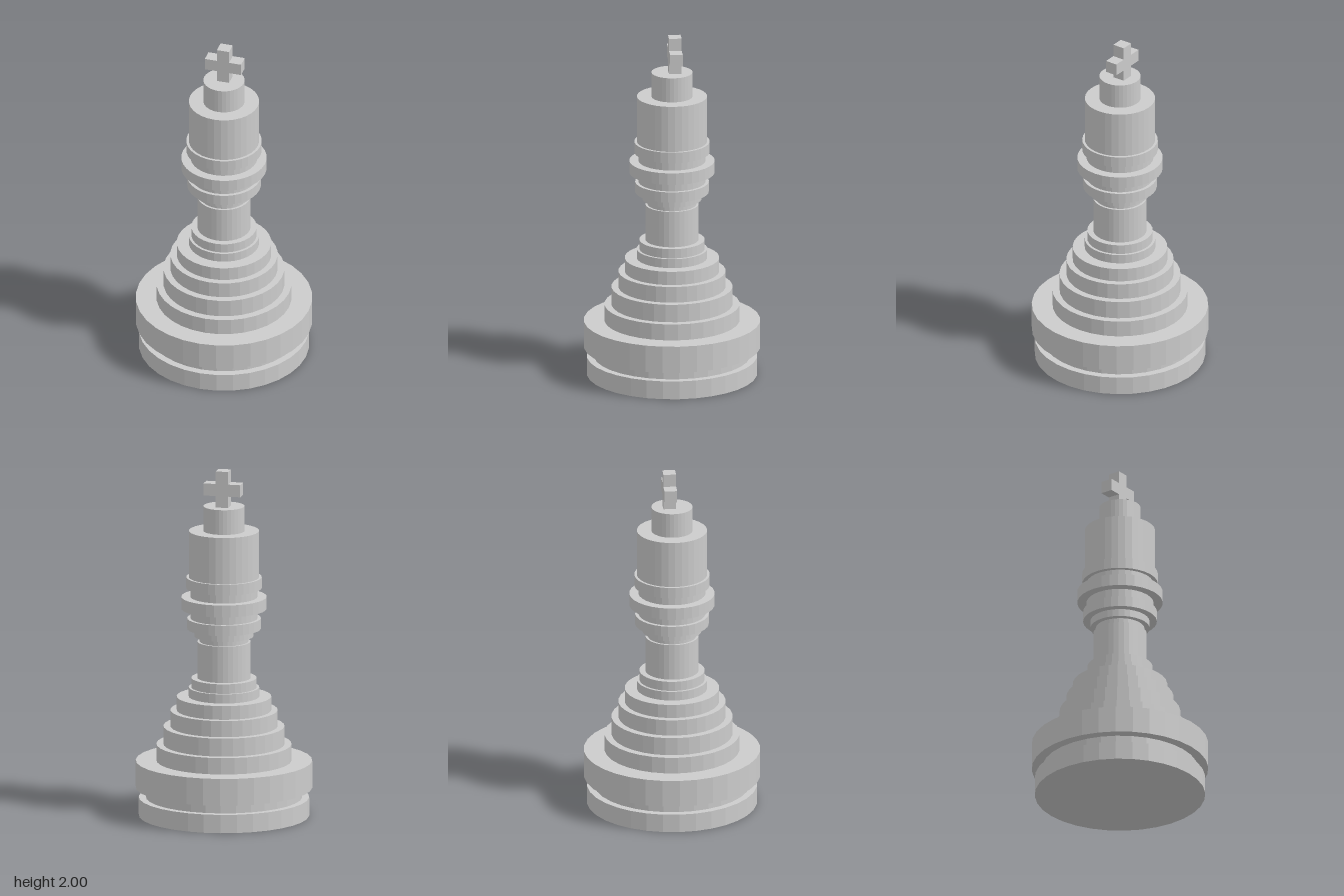
import * as THREE from 'three';

const material = new THREE.MeshStandardMaterial({ color: 0xcccccc, flatShading: true });

// Stacked discs from the ground up: name, radius, height of the top edge
const discs = [
  ['foot', 0.483, 0.106],
  ['footGroove', 0.443, 0.162],
  ['baseDrum', 0.5, 0.318],
  ['skirtStep1', 0.383, 0.413],
  ['skirtStep2', 0.343, 0.517],
  ['skirtStep3', 0.304, 0.61],
  ['skirtStep4', 0.268, 0.689],
  ['stemStep1', 0.2, 0.742],
  ['stemStep2', 0.185, 0.797],
  ['stem', 0.151, 1.007],
  ['neckGroove', 0.138, 1.038],
  ['collarStep', 0.168, 1.081],
  ['lowerCollar', 0.209, 1.142],
  ['lowerCollarGroove', 0.19, 1.197],
  ['middleCollar', 0.242, 1.266],
  ['upperCollarGroove', 0.19, 1.317],
  ['upperCollar', 0.214, 1.38],
  ['head', 0.199, 1.648],
  ['crown', 0.117, 1.791],
];

// Plus-shaped finial, set slightly behind the axis
function createCross(bottom) {
  const w = 0.036, arm = 0.107, low = 1.857, high = 1.927, top = 2;
  const outline = [
    [-w, bottom], [w, bottom], [w, low], [arm, low], [arm, high], [w, high],
    [w, top], [-w, top], [-w, high], [-arm, high], [-arm, low], [-w, low],
  ];
  const shape = new THREE.Shape(outline.map(([x, y]) => new THREE.Vector2(x, y)));
  const geometry = new THREE.ExtrudeGeometry(shape, { depth: 0.072, bevelEnabled: false });
  const cross = new THREE.Mesh(geometry, material);
  cross.position.z = -0.052;
  cross.name = 'cross';
  return cross;
}

export function createModel() {
  const model = new THREE.Group();
  model.name = 'chessKing';

  let bottom = 0;
  for (const [name, radius, top] of discs) {
    const height = top - bottom;
    const disc = new THREE.Mesh(new THREE.CylinderGeometry(radius, radius, height, 32), material);
    disc.position.y = bottom + height / 2;
    disc.name = name;
    model.add(disc);
    bottom = top;
  }

  model.add(createCross(bottom));
  return model;
}
